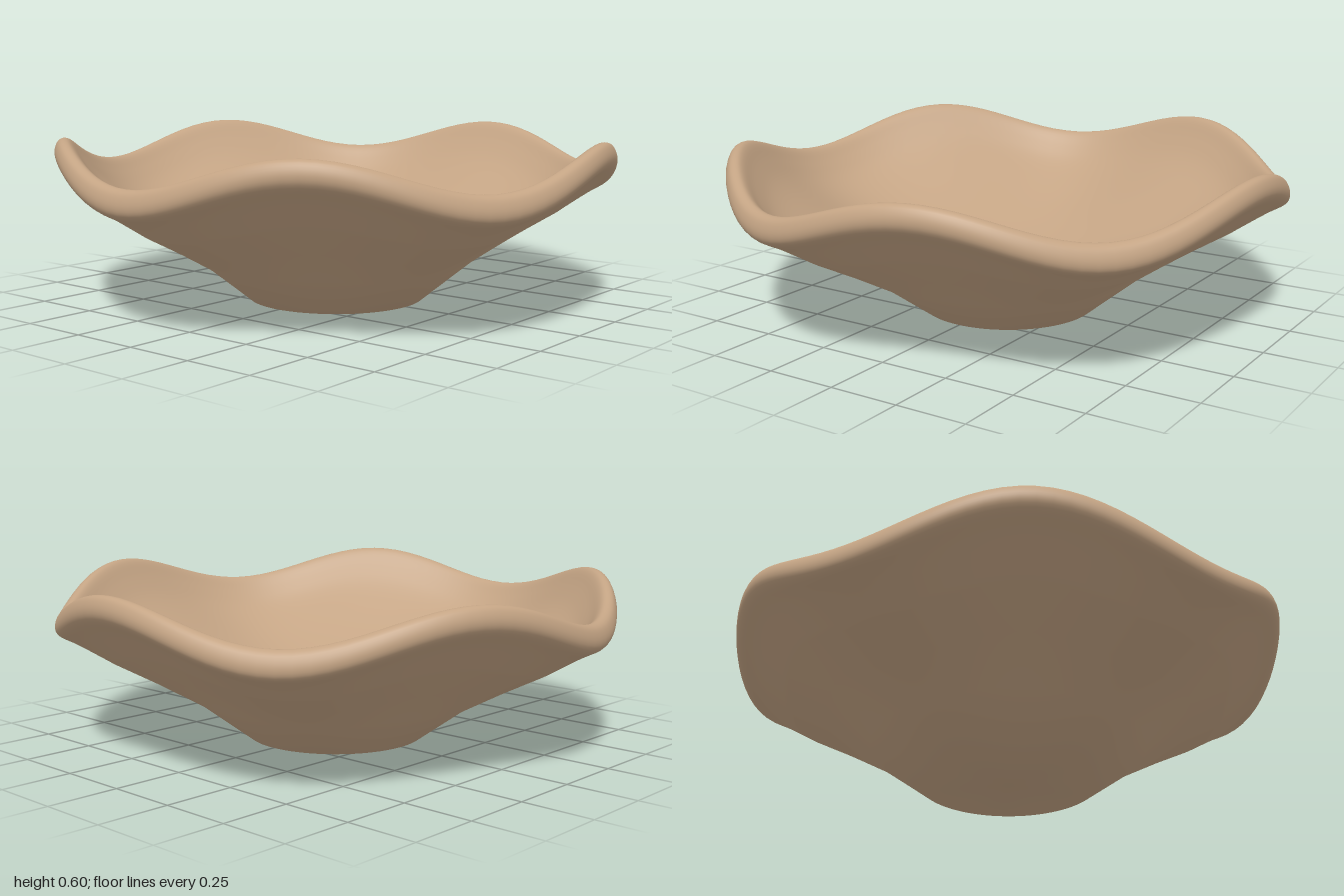
import * as THREE from 'three';
import { mergeVertices } from 'three/addons/utils/BufferGeometryUtils.js';

const LOBES = 5;
const CREST = 0.573; // azimuth of the first crest, from +z towards +x
const v = (x, y) => new THREE.Vector2(x, y);

// Raise and lower the bowl in five waves that grow towards the rim
function ripple(geometry) {
  const p = geometry.attributes.position;
  for (let i = 0; i < p.count; i++) {
    const x = p.getX(i), z = p.getZ(i);
    const grow = Math.max(0, (Math.hypot(x, z) - 0.32) / 0.68) ** 1.4;
    const wave = Math.cos(LOBES * (Math.atan2(x, z) - CREST));
    p.setY(i, p.getY(i) + 0.064 * grow * wave);
  }
}

export function createModel() {
  const group = new THREE.Group();
  group.name = 'wavyBowl';
  const clay = new THREE.MeshStandardMaterial({ color: 0xc4a484 });
  clay.name = 'tan clay';

  // Flat foot and straight outer wall
  const outside = [v(0, 0), v(0.32, 0), v(0.5, 0.14), v(0.66, 0.24)];
  // Rounded rim and hollow inside
  const rimAndInside = new THREE.SplineCurve([
    v(0.8, 0.325), v(0.92, 0.41), v(0.985, 0.452), v(1, 0.487), v(0.988, 0.525),
    v(0.965, 0.538), v(0.94, 0.527), v(0.9, 0.475), v(0.84, 0.41), v(0.75, 0.345),
    v(0.6, 0.26), v(0.4, 0.175), v(0.2, 0.118), v(0, 0.085),
  ]).getPoints(52);
  rimAndInside[52].x = 0;

  // Revolve, ripple, then weld the seam for smooth normals
  let geometry = new THREE.LatheGeometry([...outside, ...rimAndInside], 120);
  geometry.deleteAttribute('uv');
  geometry.deleteAttribute('normal');
  ripple(geometry);
  geometry = mergeVertices(geometry, 1e-4);
  geometry.computeVertexNormals();

  const bowl = new THREE.Mesh(geometry, clay);
  bowl.name = 'bowl';
  group.add(bowl);
  return group;
}
